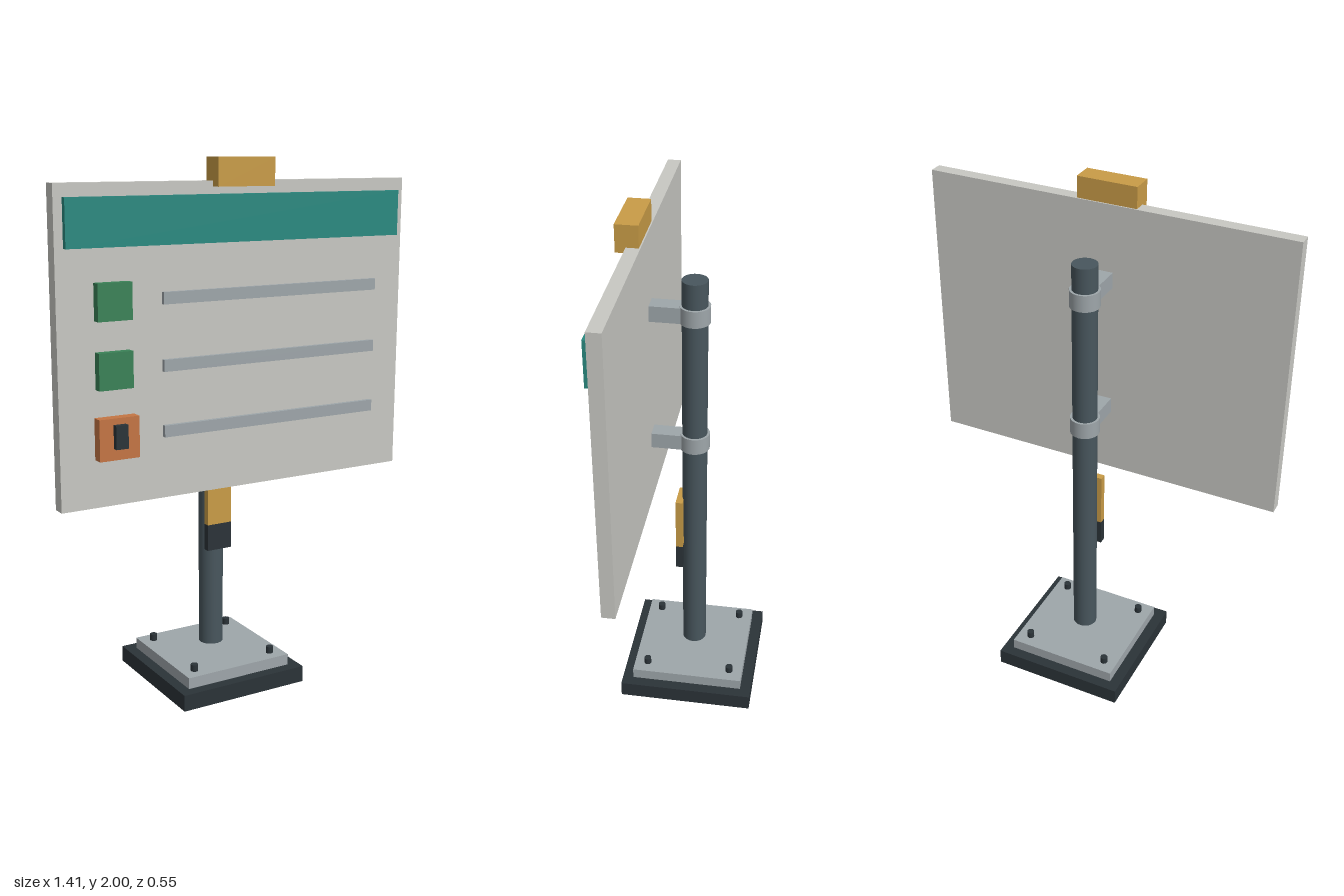
import * as THREE from 'three';

const mat = (name, color) => {
  const m = new THREE.MeshStandardMaterial({ color });
  m.name = name;
  return m;
};

export function createModel() {
  const group = new THREE.Group();
  const panelGrey = mat('panel grey', 0xc8c8c3);
  const teal = mat('teal', 0x2a8a80);
  const green = mat('green', 0x3a8257);
  const orange = mat('orange', 0xc47544);
  const steel = mat('steel', 0x9ea6aa);
  const dark = mat('charcoal', 0x2b3338);
  const slate = mat('slate', 0x48565d);
  const ochre = mat('ochre', 0xc99c47);

  const add = (name, geometry, material) => {
    const mesh = new THREE.Mesh(geometry, material);
    mesh.name = name;
    group.add(mesh);
    return mesh;
  };
  // Box given by its extents on each axis
  const box = (name, material, [x0, x1], [y0, y1], [z0, z1]) =>
    add(name, new THREE.BoxGeometry(x1 - x0, y1 - y0, z1 - z0), material)
      .position.set((x0 + x1) / 2, (y0 + y1) / 2, (z0 + z1) / 2);
  // Upright cylinder given by its radius and height range
  const cyl = (name, material, r, x, [y0, y1], z, sides = 32) =>
    add(name, new THREE.CylinderGeometry(r, r, y1 - y0, sides), material)
      .position.set(x, (y0 + y1) / 2, z);

  const poleZ = -0.01;

  // Base, mounting plate and bolts
  box('base', dark, [-0.262, 0.262], [0, 0.063], [-0.272, 0.252]);
  box('mountingPlate', steel, [-0.22, 0.22], [0.063, 0.106], [-0.23, 0.21]);
  for (const x of [-0.168, 0.168])
    for (const z of [-0.178, 0.158]) cyl('bolt', dark, 0.014, x, [0.106, 0.132], z, 16);

  // Pole with clamps reaching forward to the board
  cyl('pole', slate, 0.047, 0, [0.135, 1.765], poleZ);
  for (const y of [1.11, 1.637]) {
    cyl('clampCollar', steel, 0.056, 0, [y - 0.032, y + 0.032], poleZ);
    box('clampArm', steel, [-0.032, 0.032], [y - 0.03, y + 0.03], [0.03, 0.149]);
  }

  // Marker strip on the front of the pole
  box('poleMarker', ochre, [-0.051, 0.051], [0.632, 0.845], [0.03, 0.057]);
  box('poleMarkerFoot', dark, [-0.051, 0.051], [0.53, 0.632], [0.03, 0.057]);

  // Board, header and top tab
  box('board', panelGrey, [-0.707, 0.707], [0.82, 1.92], [0.155, 0.205]);
  box('header', teal, [-0.675, 0.675], [1.71, 1.875], [0.205, 0.225]);
  box('topTab', ochre, [-0.115, 0.115], [1.9, 2], [0.16, 0.242]);

  // Rows of tiles and bars
  for (const y of [1.066, 1.298, 1.531]) {
    box('tile', green, [-0.571, -0.443], [y - 0.064, y + 0.064], [0.205, 0.237]);
    box('bar', steel, [-0.322, 0.573], [y - 0.021, y + 0.021], [0.216, 0.232]);
  }

  // Raised tile on the lowest row with its dark inset
  box('raisedTile', orange, [-0.582, -0.432], [0.994, 1.14], [0.214, 0.254]);
  box('raisedTileInset', dark, [-0.53, -0.484], [1.035, 1.118], [0.25, 0.275]);

  return group;
}
